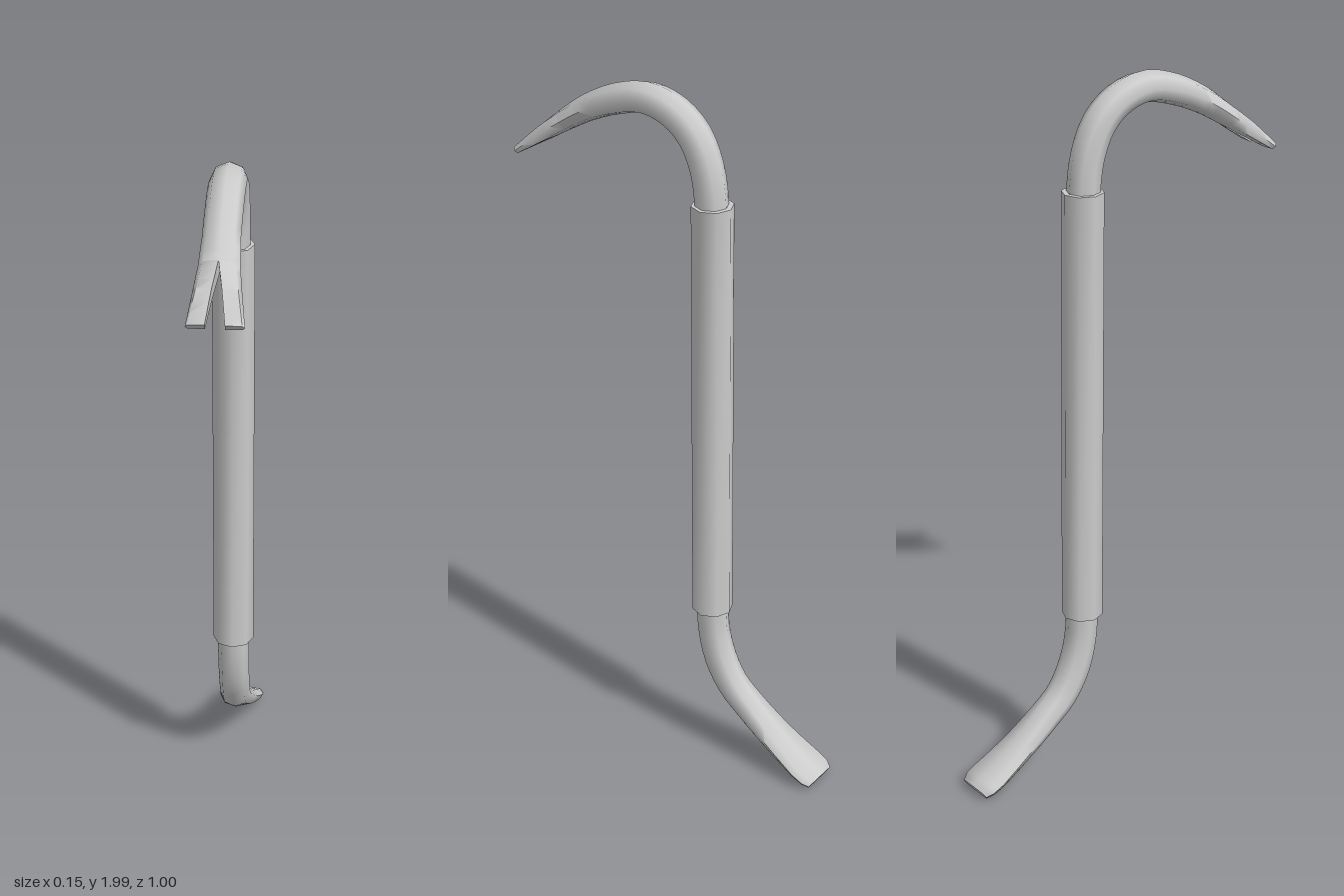
import * as THREE from 'three';
import { toCreasedNormals } from 'three/addons/utils/BufferGeometryUtils.js';

const SIDES = 8;

// Stations from claw tip to blade tip: [z, y, half width, half thickness, squareness (1 = ellipse)]
const STATIONS = [
  [0.494, 1.738, 0.074, 0.011, 0.4],
  [0.42, 1.797, 0.062, 0.024, 0.6],
  [0.36, 1.842, 0.053, 0.031, 0.85],
  [0.29, 1.888, 0.049, 0.037, 1],
  [0.2, 1.931, 0.049, 0.042, 1],
  [0.1, 1.956, 0.049, 0.044, 1],
  [0.015, 1.937, 0.048, 0.045, 1],
  [-0.05, 1.885, 0.047, 0.046, 1],
  [-0.09, 1.8, 0.046, 0.046, 1],
  [-0.105, 1.7, 0.046, 0.046, 1],
  [-0.106, 1.6, 0.046, 0.046, 1],
  [-0.117, 0.55, 0.046, 0.046, 1],
  [-0.118, 0.46, 0.046, 0.046, 1],
  [-0.125, 0.38, 0.045, 0.046, 1],
  [-0.147, 0.3, 0.045, 0.047, 1],
  [-0.19, 0.225, 0.045, 0.045, 1],
  [-0.25, 0.172, 0.048, 0.039, 0.9],
  [-0.34, 0.107, 0.056, 0.028, 0.7],
  [-0.44, 0.047, 0.068, 0.02, 0.55],
  [-0.475, 0.029, 0.067, 0.017, 0.5],
  [-0.493, 0.018, 0.056, 0.014, 0.5],
];
const LAST = STATIONS.length - 1;
const SPLIT = 2; // station where the claw forks

const path = new THREE.CatmullRomCurve3(STATIONS.map(([z, y]) => new THREE.Vector3(0, y, z)));

function section(u) {
  const i = Math.min(Math.floor(u), LAST - 1);
  const mix = (k) => THREE.MathUtils.lerp(STATIONS[i][k], STATIONS[i + 1][k], u - i);
  return { w: mix(2), t: mix(3), k: mix(4) };
}

// One cross-section. side 0 is the full bar, +1 / -1 is one half of the fork.
function ring(u, side) {
  const c = path.getPoint(u / LAST);
  const T = path.getTangent(u / LAST);
  const N = new THREE.Vector3(0, T.z, -T.y);
  const { w, t, k } = section(u);
  const inner = side ? 0.025 * (1 - u / SPLIT) : 0;
  const count = side ? SIDES / 2 + 1 : SIDES;
  const start = side < 0 ? Math.PI / 2 : -Math.PI / 2;
  const power = (v) => Math.sign(v) * Math.abs(v) ** k;
  return Array.from({ length: count }, (_, j) => {
    const a = start + (j / SIDES) * Math.PI * 2;
    const x = side * inner + (w - inner) * power(Math.cos(a));
    return c.clone().addScaledVector(N, t * power(Math.sin(a))).setX(x);
  });
}

// Skin a run of cross-sections and close both ends
function loft(from, to, side) {
  const steps = (to - from) * 3;
  const rings = Array.from({ length: steps + 1 }, (_, i) => ring(from + i / 3, side));
  const n = rings[0].length;
  const pos = [];
  const tri = (...pts) => pts.forEach((p) => pos.push(p.x, p.y, p.z));
  for (let i = 0; i < steps; i++) {
    for (let j = 0; j < n; j++) {
      const m = (j + 1) % n;
      const [a, b, c, d] = [rings[i][j], rings[i][m], rings[i + 1][m], rings[i + 1][j]];
      tri(a, b, c);
      tri(a, c, d);
    }
  }
  for (let j = 1; j < n - 1; j++) {
    const [s, e] = [rings[0], rings[steps]];
    tri(s[0], s[j + 1], s[j]);
    tri(e[0], e[j], e[j + 1]);
  }
  const geo = new THREE.BufferGeometry();
  geo.setAttribute('position', new THREE.Float32BufferAttribute(pos, 3));
  return toCreasedNormals(geo, 1.0);
}

export function createModel() {
  const group = new THREE.Group();
  group.name = 'pryBar';
  const material = new THREE.MeshStandardMaterial({ color: 0xcccccc });
  const add = (name, geometry) => {
    const mesh = new THREE.Mesh(geometry, material);
    mesh.name = name;
    group.add(mesh);
    return mesh;
  };

  // Hooked bar ending in the flat blade
  add('bar', loft(SPLIT, LAST, 0));

  // Forked claw
  add('leftTine', loft(0, SPLIT, 1));
  add('rightTine', loft(0, SPLIT, -1));

  // Eight-sided sleeve, leaning slightly with the shaft
  const grip = add('grip', toCreasedNormals(new THREE.CylinderGeometry(0.058, 0.058, 1.245, SIDES), 1.0));
  grip.position.set(0, 1.083, -0.112);
  grip.rotation.x = 0.008;

  return group;
}
